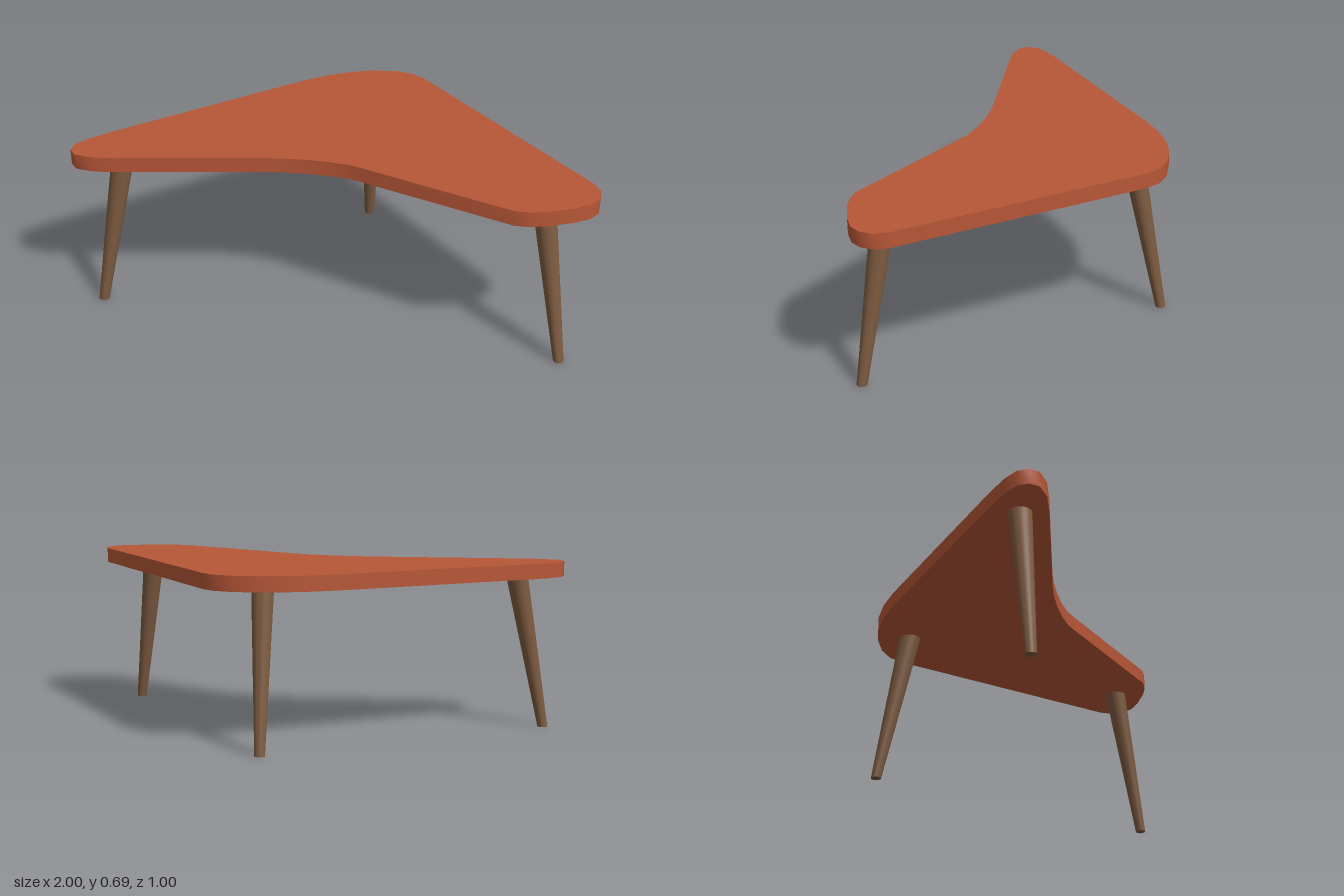
import * as THREE from 'three';
import { toCreasedNormals } from 'three/addons/utils/BufferGeometryUtils.js';

const UNDERSIDE = 0.627, THICKNESS = 0.061;

// Boomerang outline as [x, z]
const OUTLINE = [
  [0.07, -0.505], [0.145, -0.496], [0.2, -0.465],                                   // back corner
  [0.97, 0.243], [1, 0.29], [1, 0.345], [0.975, 0.39], [0.92, 0.43],               // left tip
  [0.83, 0.475], [0.765, 0.495], [0.71, 0.498],
  [0.14, 0.332], [0.07, 0.313], [-0.01, 0.307], [-0.1, 0.31], [-0.2, 0.321], [-0.27, 0.335], // front hollow
  [-0.8, 0.46], [-0.9, 0.478], [-0.97, 0.471], [-1, 0.44], [-1, 0.395], [-0.965, 0.34], [-0.9, 0.27], // right tip
  [-0.29, -0.325], [-0.2, -0.4], [-0.11, -0.454], [-0.03, -0.486],
];

// Tapered round leg, sheared so both ends stay level
function makeLeg(name, [topX, topZ], [footX, footZ], material) {
  const g = new THREE.CylinderGeometry(0.044, 0.0205, UNDERSIDE, 24);
  g.translate(0, UNDERSIDE / 2, 0);
  const p = g.attributes.position;
  for (let i = 0; i < p.count; i++) {
    const t = p.getY(i) / UNDERSIDE;
    p.setX(i, p.getX(i) + THREE.MathUtils.lerp(footX, topX, t));
    p.setZ(i, p.getZ(i) + THREE.MathUtils.lerp(footZ, topZ, t));
  }
  const leg = new THREE.Mesh(toCreasedNormals(g, 0.7), material);
  leg.name = name;
  return leg;
}

export function createModel() {
  const group = new THREE.Group();
  group.name = 'boomerangTable';
  const topMaterial = new THREE.MeshStandardMaterial({ color: 0xb85737 });
  const legMaterial = new THREE.MeshStandardMaterial({ color: 0x7d5b40 });

  // Table top
  const shape = new THREE.Shape(OUTLINE.map(([x, z]) => new THREE.Vector2(x, -z)));
  const slab = new THREE.ExtrudeGeometry(shape, { depth: THICKNESS, bevelEnabled: false });
  slab.rotateX(-Math.PI / 2).translate(0, UNDERSIDE, 0);
  const top = new THREE.Mesh(toCreasedNormals(slab, 0.8), topMaterial);
  top.name = 'tableTop';
  group.add(top);

  // Three splayed legs
  group.add(
    makeLeg('leftLeg', [0.805, 0.352], [0.907, 0.42], legMaterial),
    makeLeg('rightLeg', [-0.825, 0.358], [-0.933, 0.42], legMaterial),
    makeLeg('backLeg', [0.002, -0.355], [-0.03, -0.473], legMaterial),
  );
  return group;
}
